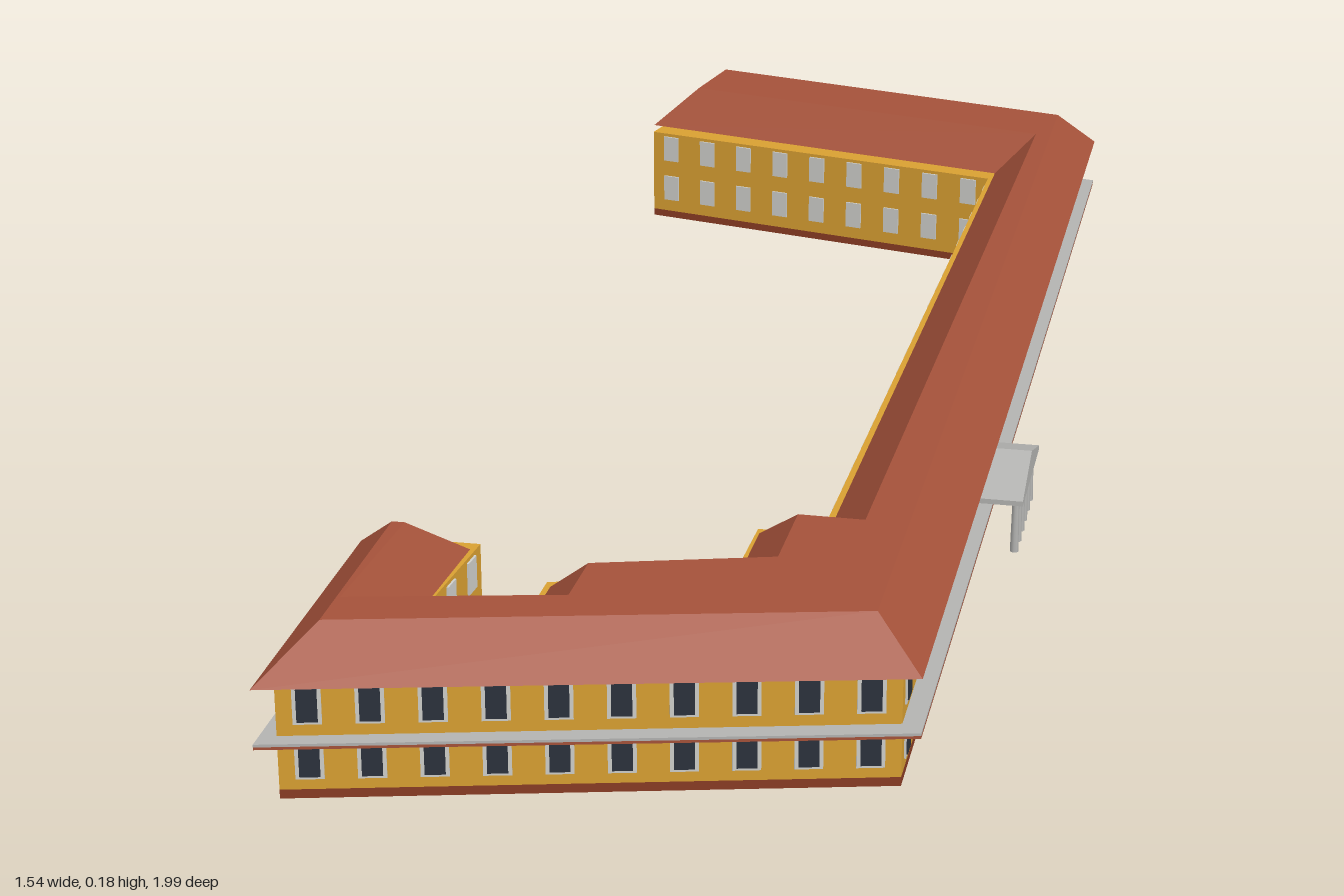
import * as THREE from 'three';
import { mergeGeometries } from 'three/addons/utils/BufferGeometryUtils.js';

const mat = (name, color) => Object.assign(new THREE.MeshStandardMaterial({ color }), { name });

// Eave outline [x, z]; walls follow the same corners (the first five edges face the street)
const EAVES = [[-0.772, -0.81], [-0.165, -0.997], [0.772, 0.525], [0.307, 0.993], [0.12, 0.685],
  [0.222, 0.62], [0.305, 0.775], [0.39, 0.692], [0.352, 0.627], [0.483, 0.483],
  [0.42, 0.378], [0.482, 0.34], [-0.178, -0.778], [-0.697, -0.612]];
const WALLS = [[-0.745, -0.795], [-0.175, -0.967], [0.745, 0.522], [0.31, 0.965], [0.128, 0.662],
  [0.22, 0.603], [0.303, 0.768], [0.382, 0.69], [0.341, 0.621], [0.474, 0.478],
  [0.411, 0.37], [0.47, 0.334], [-0.17, -0.752], [-0.674, -0.587]];

const unit = (a, b) => {
  const l = Math.hypot(b[0] - a[0], b[1] - a[1]);
  return [(b[0] - a[0]) / l, (b[1] - a[1]) / l, l];
};

// Mitred inset of a closed outline
function inset(loop, d) {
  const n = loop.length;
  return loop.map((p, i) => {
    const u = unit(loop[(i + n - 1) % n], p), v = unit(p, loop[(i + 1) % n]);
    const k = d / (1 + u[0] * v[0] + u[1] * v[1]);
    return [p[0] - (u[1] + v[1]) * k, p[1] + (u[0] + v[0]) * k];
  });
}

// Closed solid between two outlines at different heights
function loft(bottom, top, y0, y1) {
  const pos = [], n = bottom.length;
  const put = (p, y) => pos.push(p[0], y, p[1]);
  for (let i = 0; i < n; i++) {
    const j = (i + 1) % n;
    put(bottom[j], y0); put(bottom[i], y0); put(top[i], y1);
    put(bottom[j], y0); put(top[i], y1); put(top[j], y1);
  }
  for (const [loop, y, up] of [[bottom, y0, false], [top, y1, true]]) {
    const pts = loop.map(p => new THREE.Vector2(p[0], -p[1]));
    for (const [a, b, c] of THREE.ShapeUtils.triangulateShape(pts, [])) {
      const ccw = THREE.ShapeUtils.area([pts[a], pts[b], pts[c]]) > 0;
      for (const k of ccw === up ? [a, b, c] : [a, c, b]) put(loop[k], y);
    }
  }
  const g = new THREE.BufferGeometry();
  g.setAttribute('position', new THREE.Float32BufferAttribute(pos, 3));
  g.computeVertexNormals();
  return g;
}

export function createModel() {
  const model = new THREE.Group();
  model.name = 'courtyardBuilding';
  const ochre = mat('ochreWall', 0xd9a032);
  const tile = mat('roofTile', 0xa5523a);
  const brick = mat('plinthBrick', 0x8a3c24);
  const pale = mat('paleWindow', 0xcfcfcb);
  const glass = mat('darkGlass', 0x2b313c);
  const stone = mat('greyStone', 0xb4b4b2);

  const add = (name, geo, material, parent = model) => {
    const m = new THREE.Mesh(geo, material);
    m.name = name;
    parent.add(m);
    return m;
  };

  add('plinth', loft(WALLS, WALLS, 0, 0.01), brick);
  add('walls', loft(WALLS, WALLS, 0.01, 0.13), ochre);
  add('roof', loft(EAVES, inset(EAVES, 0.052), 0.13, 0.18), tile);

  // Windows in two storeys, plus the canopy between storeys on street sides
  const panes = [], frames = [], courtPanes = [], canopyTop = [], canopyBase = [];
  const n = WALLS.length;
  for (let i = 0; i < n; i++) {
    const j = (i + 1) % n, a = WALLS[i], b = WALLS[j];
    const [dx, dz, len] = unit(a, b);
    const street = i < 4 || i === n - 1;
    const count = Math.max(1, Math.round(len / (street ? 0.063 : 0.059)));
    const plate = (t, y, w, h, depth) => new THREE.BoxGeometry(w, h, depth)
      .rotateY(Math.atan2(dz, -dx))
      .translate(a[0] + dx * t, y, a[1] + dz * t);
    for (let k = 0; k < count; k++) {
      const t = len * (k + 0.5) / count;
      for (const y of [0.043, 0.104]) {
        if (street) {
          frames.push(plate(t, y, 0.029, 0.042, 0.004));
          panes.push(plate(t, y, 0.021, 0.036, 0.007));
        } else {
          courtPanes.push(plate(t, y + 0.003, 0.023, 0.037, 0.005));
        }
      }
    }
    if (street) {
      const strip = [EAVES[i], EAVES[j], b, a];
      canopyBase.push(loft(strip, strip, 0.064, 0.067));
      canopyTop.push(loft(strip, strip, 0.067, 0.07));
    }
  }
  add('streetWindowFrames', mergeGeometries(frames), pale);
  add('streetWindowPanes', mergeGeometries(panes), glass);
  add('courtyardWindows', mergeGeometries(courtPanes), pale);
  add('canopyUnderside', mergeGeometries(canopyBase), tile);
  add('canopyTop', mergeGeometries(canopyTop), stone);

  // Entrance portico on the long street front; local +z points outward
  const portico = new THREE.Group();
  portico.name = 'portico';
  const [px, pz] = unit(WALLS[1], WALLS[2]);
  portico.position.set(0.415, 0, -0.018);
  portico.rotation.y = Math.atan2(pz, -px);
  model.add(portico);
  const gable = new THREE.Shape([[-0.085, 0.074], [0.085, 0.074], [0.085, 0.08], [0, 0.108], [-0.085, 0.08]]
    .map(p => new THREE.Vector2(...p)));
  add('pediment', new THREE.ExtrudeGeometry(gable, { depth: 0.055, bevelEnabled: false }), stone, portico);
  for (let k = 0; k < 6; k++) {
    add('column', new THREE.CylinderGeometry(0.004, 0.005, 0.062, 8)
      .translate(-0.075 + k * 0.03, 0.044, 0.046), stone, portico);
  }
  return model;
}
